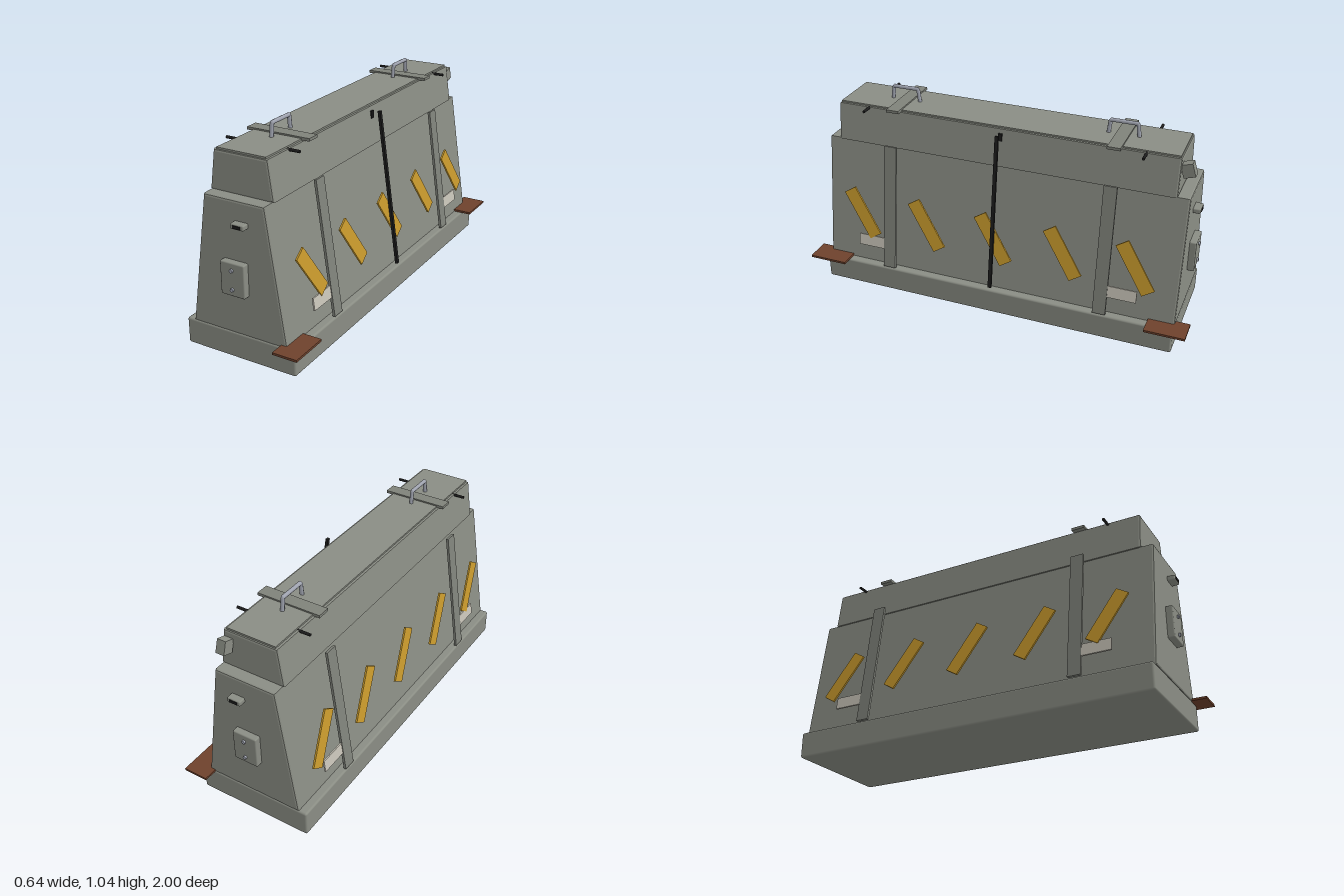
import * as THREE from 'three';
import { RoundedBoxGeometry } from 'three/addons/geometries/RoundedBoxGeometry.js';

const mat = (name, color) => {
  const m = new THREE.MeshStandardMaterial({ color });
  m.name = name;
  return m;
};

export function createModel() {
  const model = new THREE.Group();
  model.name = 'barrierContainer';
  const grey = mat('paintedGrey', 0x8a8d84);
  const strapGrey = mat('strapGrey', 0x7f827a);
  const yellow = mat('warningYellow', 0xc99a2c);
  const white = mat('labelWhite', 0xc8c4b8);
  const brown = mat('rustBrown', 0x6e412c);
  const black = mat('rubberBlack', 0x1c1c1c);
  const steel = mat('paleSteel', 0xa0a4b0);
  const C = -0.028; // centre line of the housing

  const add = (parent, name, geo, material, x = 0, y = 0, z = 0) => {
    const mesh = new THREE.Mesh(geo, material);
    mesh.name = name;
    mesh.position.set(x, y, z);
    parent.add(mesh);
    return mesh;
  };
  const box = (w, h, d) => new THREE.BoxGeometry(w, h, d);
  const rounded = (w, h, d, r) => new RoundedBoxGeometry(w, h, d, 2, r);

  // Trapezoid prism along z with softened edges
  const prism = (bottom, top, y0, y1, halfZ, bevel) => {
    const s = new THREE.Shape();
    s.moveTo(-bottom, y0);
    s.lineTo(bottom, y0);
    s.lineTo(top, y1);
    s.lineTo(-top, y1);
    s.closePath();
    const depth = 2 * (halfZ - bevel);
    const g = new THREE.ExtrudeGeometry(s, {
      depth, bevelEnabled: true, bevelSize: bevel, bevelThickness: bevel,
      bevelOffset: -bevel, bevelSegments: 2,
    });
    return g.translate(0, 0, -depth / 2);
  };

  // Base, tapered body, cap and lid panel
  add(model, 'base', rounded(0.589, 0.13, 1.86, 0.01), grey, C, 0.065, 0);
  add(model, 'body', prism(0.253, 0.157, 0.128, 0.772, 0.93, 0.01), grey, C);
  add(model, 'cap', prism(0.165, 0.139, 0.77, 0.958, 0.87, 0.01), grey, C);
  add(model, 'lidPanel', box(0.255, 0.012, 1.724), grey, C, 0.96, 0);

  // Sloping sides: straps, warning stripes and labels
  for (const s of [-1, 1]) {
    const side = new THREE.Group();
    side.name = s > 0 ? 'leftSide' : 'rightSide';
    side.position.set(C + s * 0.242, 0.4625, 0);
    side.rotation.z = s * 0.14;
    model.add(side);
    for (const e of [-1, 1]) {
      add(side, 'strap', box(0.013, 0.66, 0.065), strapGrey, 0, 0, e * 0.565);
      add(side, 'label', box(0.008, 0.06, 0.145), white, -s * 0.001, -0.204, e * 0.668);
    }
    for (let i = -2; i <= 2; i++) {
      const stripe = add(side, 'warningStripe', box(0.0095, 0.275, 0.07), yellow, s * 0.002, -0.054, i * 0.36);
      stripe.rotation.x = 0.565;
    }
    if (s > 0) add(side, 'pryBar', box(0.014, 0.795, 0.017), black, 0.014, 0.084, 0);
  }
  add(model, 'barHook', box(0.01, 0.038, 0.02), black, 0.118, 0.917, 0);

  for (const e of [-1, 1]) {
    // Lid cross bars, handles and latch pins
    add(model, 'crossBar', box(0.33, 0.014, 0.065), strapGrey, C + 0.002, 0.966, e * 0.56);
    const pts = [[-0.074, 0.965], [-0.066, 1.03], [0.066, 1.03], [0.074, 0.965]]
      .map(([z, y]) => new THREE.Vector3(C, y, e * 0.563 + z));
    const path = new THREE.CurvePath();
    for (let i = 0; i < 3; i++) path.add(new THREE.LineCurve3(pts[i], pts[i + 1]));
    add(model, 'handle', new THREE.TubeGeometry(path, 48, 0.01, 8), steel);
    for (const s of [-1, 1]) {
      const pin = add(model, 'latchPin', new THREE.CylinderGeometry(0.007, 0.007, 0.065, 10), black,
        C + s * 0.16, 0.953, e * 0.705);
      pin.rotation.z = Math.PI / 2;
    }

    // Access plate, bolts and slotted vent on each end
    add(model, 'accessPlate', rounded(0.126, 0.16, 0.04, 0.006), grey, C, 0.412, e * 0.943);
    for (const y of [0.365, 0.457]) {
      const bolt = add(model, 'bolt', new THREE.CylinderGeometry(0.009, 0.009, 0.014, 12), steel, C, y, e * 0.965);
      bolt.rotation.x = Math.PI / 2;
    }
    add(model, 'ventHousing', rounded(0.07, 0.025, 0.04, 0.006), grey, 0.01, 0.669, e * 0.946);
    add(model, 'ventSlot', box(0.04, 0.014, 0.006), black, 0.01, 0.669, e * 0.966);

    // Rusty foot plates at the corners
    add(model, 'footPlate', box(0.125, 0.011, 0.2), brown, 0.2575, 0.1355, e * 0.9);
  }

  // Tilted hinge block behind the cap
  const block = add(model, 'hingeBlock', box(0.045, 0.066, 0.057), grey, 0.085, 0.9, -0.9);
  block.rotation.x = 0.3;

  return model;
}
